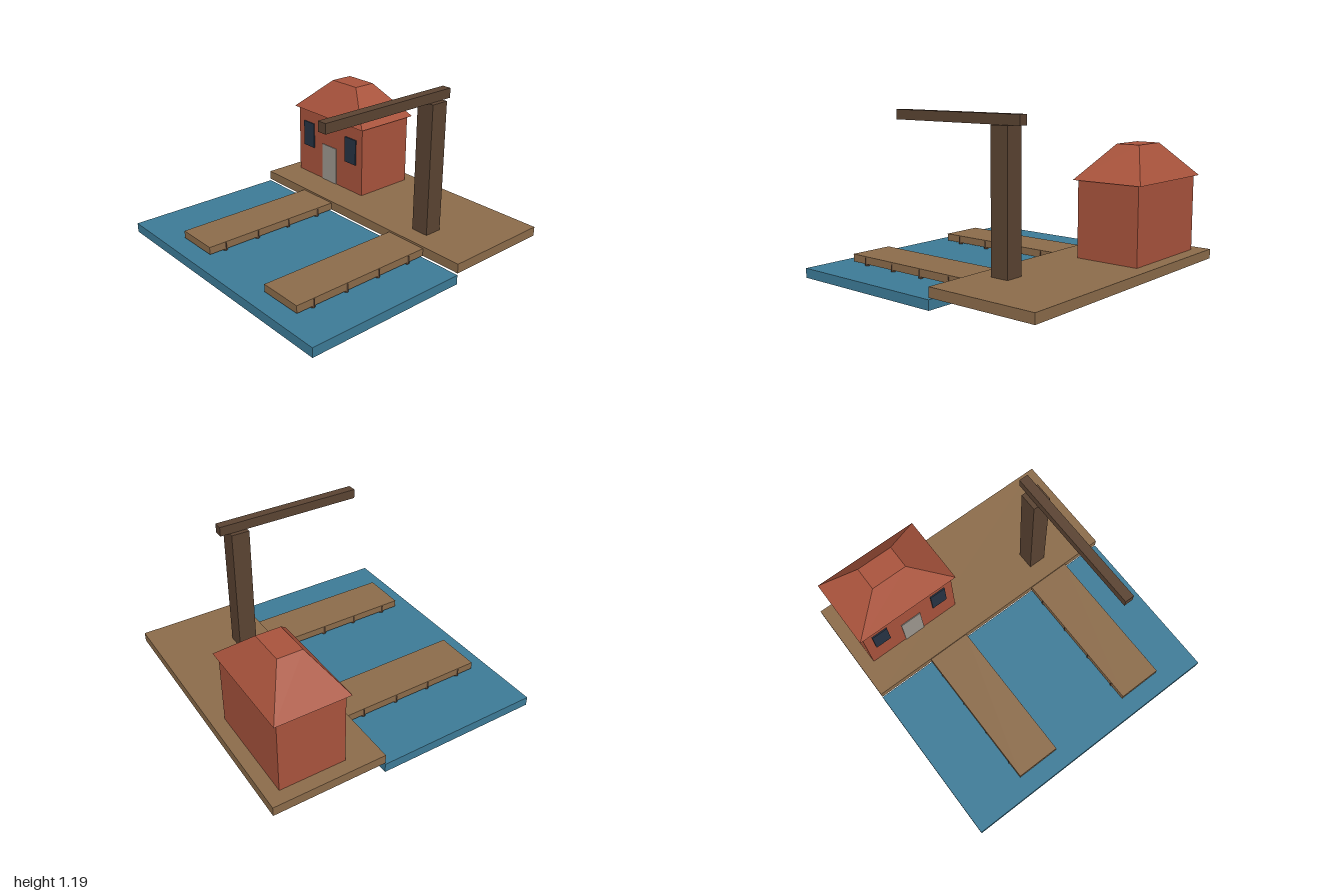
import * as THREE from 'three';

const mat = (name, color) => {
  const m = new THREE.MeshStandardMaterial({ color, flatShading: true });
  m.name = name;
  return m;
};

export function createModel() {
  const planks = mat('plank brown', 0x8b6b4a);
  const timber = mat('dark timber', 0x5a4332);
  const red = mat('brick red', 0xa8533c);
  const blue = mat('water blue', 0x3c7a96);
  const glass = mat('window navy', 0x263243);
  const grey = mat('door grey', 0x9c968e);

  const model = new THREE.Group();
  model.name = 'harbour';

  const add = (name, geometry, material, parent = model) => {
    const mesh = new THREE.Mesh(geometry, material);
    mesh.name = name;
    parent.add(mesh);
    return mesh;
  };
  // Box given by its extents on each axis
  const box = (name, [x0, x1], [y0, y1], [z0, z1], material, parent) => {
    const mesh = add(name, new THREE.BoxGeometry(x1 - x0, y1 - y0, z1 - z0), material, parent);
    mesh.position.set((x0 + x1) / 2, (y0 + y1) / 2, (z0 + z1) / 2);
  };
  const group = (name) => {
    const g = new THREE.Group();
    g.name = name;
    model.add(g);
    return g;
  };

  // Quay and water
  box('quay', [-1, 1], [0.12, 0.187], [-1, -0.2], planks);
  box('water', [-1, 1], [0.04, 0.107], [-0.2, 1], blue);

  // Two piers, each on two rows of piles
  for (const x of [-0.4, 0.534]) {
    const pier = group('pier');
    box('pierDeck', [x - 0.16, x + 0.16], [0.12, 0.173], [-0.2, 0.867], planks, pier);
    for (const side of [-1, 1]) {
      for (const z of [-0.065, 0.202, 0.47, 0.737]) {
        const pile = add('pile', new THREE.CylinderGeometry(0.0165, 0.0165, 0.166, 8), timber, pier);
        pile.position.set(x + side * 0.147, 0.083, z);
      }
    }
  }

  // House with a truncated hip roof
  const house = group('house');
  const hx = -0.535, hz = -0.67, front = -0.437;
  box('walls', [hx - 0.367, hx + 0.367], [0.187, 0.72], [hz - 0.233, front], red, house);
  const roofShape = new THREE.CylinderGeometry(Math.SQRT1_2 / 3, Math.SQRT1_2, 0.235, 4);
  roofShape.rotateY(Math.PI / 4).scale(0.784, 1, 0.52);
  add('roof', roofShape, red, house).position.set(hx, 0.8375, hz);
  box('door', [hx - 0.08, hx + 0.08], [0.187, 0.48], [front, front + 0.006], grey, house);
  for (const side of [-1, 1]) {
    const x = hx + side * 0.243;
    box('window', [x - 0.06, x + 0.06], [0.415, 0.615], [front, front + 0.009], glass, house);
  }

  // Crane
  const crane = group('crane');
  box('cranePost', [0.465, 0.598], [0.187, 1.12], [-0.467, -0.335], timber, crane);
  box('craneBeam', [0.498, 0.564], [1.12, 1.187], [-0.534, 0.534], timber, crane);

  return model;
}
